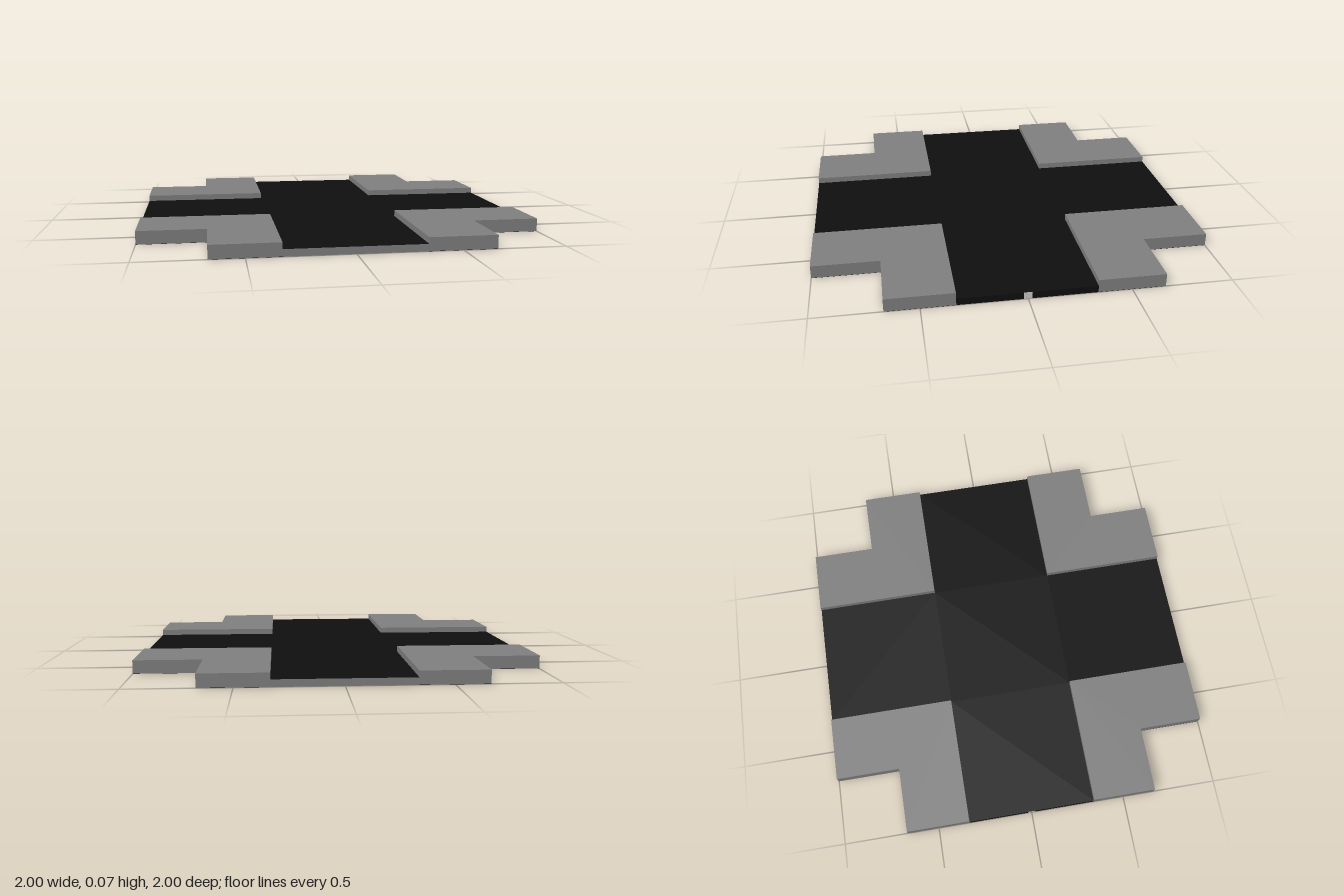
import * as THREE from 'three';

const ROAD = 0.335, STEP = 0.665, EDGE = 1; // half road width, notch corner, outer edge
const ROAD_H = 0.035, WALK_H = 0.066, SEAM = 0.02;

const paint = (color) => new THREE.MeshStandardMaterial({ color, side: THREE.DoubleSide });
const outline = (points) => new THREE.Shape(points.map(([x, y]) => new THREE.Vector2(x, y)));

export function createModel() {
  const model = new THREE.Group();
  const asphalt = paint(0x0f0f0f), concrete = paint(0x808080), pale = paint(0xcccccc);

  const add = (name, geometry, material) => {
    const mesh = new THREE.Mesh(geometry, material);
    mesh.name = name;
    model.add(mesh);
    return mesh;
  };

  // Crossing road surface
  const cross = outline([
    [ROAD, EDGE], [-ROAD, EDGE], [-ROAD, ROAD], [-EDGE, ROAD], [-EDGE, -ROAD], [-ROAD, -ROAD],
    [-ROAD, -EDGE], [ROAD, -EDGE], [ROAD, -ROAD], [EDGE, -ROAD], [EDGE, ROAD], [ROAD, ROAD],
  ]);
  add('roadSurface', new THREE.ShapeGeometry(cross).rotateX(-Math.PI / 2), asphalt).position.y = ROAD_H;

  // Underside in two halves, either side of the seam
  const half = outline([
    [EDGE, SEAM], [EDGE, STEP], [STEP, STEP], [STEP, EDGE],
    [-STEP, EDGE], [-STEP, STEP], [-EDGE, STEP], [-EDGE, SEAM],
  ]);
  for (const turn of [0, Math.PI]) {
    add('underside', new THREE.ShapeGeometry(half).rotateX(Math.PI / 2), asphalt).rotation.y = turn;
  }

  // Pale seam strip running beneath the road from side to side
  add('seamStrip', new THREE.BoxGeometry(2 * EDGE, ROAD_H - 0.001, 2 * SEAM), pale)
    .position.y = (ROAD_H - 0.001) / 2;

  // Road ends: concrete at front and back, asphalt at the sides
  for (const s of [1, -1]) {
    const end = add('roadEnd', new THREE.PlaneGeometry(2 * ROAD, ROAD_H), concrete);
    end.position.set(0, ROAD_H / 2, s * EDGE);
    end.rotation.y = s > 0 ? 0 : Math.PI;
    for (const t of [1, -1]) {
      const side = add('roadSideEnd', new THREE.PlaneGeometry(ROAD - SEAM, ROAD_H), asphalt);
      side.position.set(s * EDGE, ROAD_H / 2, t * (ROAD + SEAM) / 2);
      side.rotation.y = s * Math.PI / 2;
    }
  }

  // Four raised L-shaped corner pavements, just clear of the underside
  const corner = outline([
    [ROAD, ROAD], [EDGE, ROAD], [EDGE, STEP], [STEP, STEP], [STEP, EDGE], [ROAD, EDGE],
  ]);
  const pavement = new THREE.ExtrudeGeometry(corner, { depth: WALK_H - 0.001, bevelEnabled: false })
    .rotateX(-Math.PI / 2).translate(0, 0.001, 0);
  for (let i = 0; i < 4; i++) add('cornerPavement', pavement, concrete).rotation.y = i * Math.PI / 2;

  return model;
}
